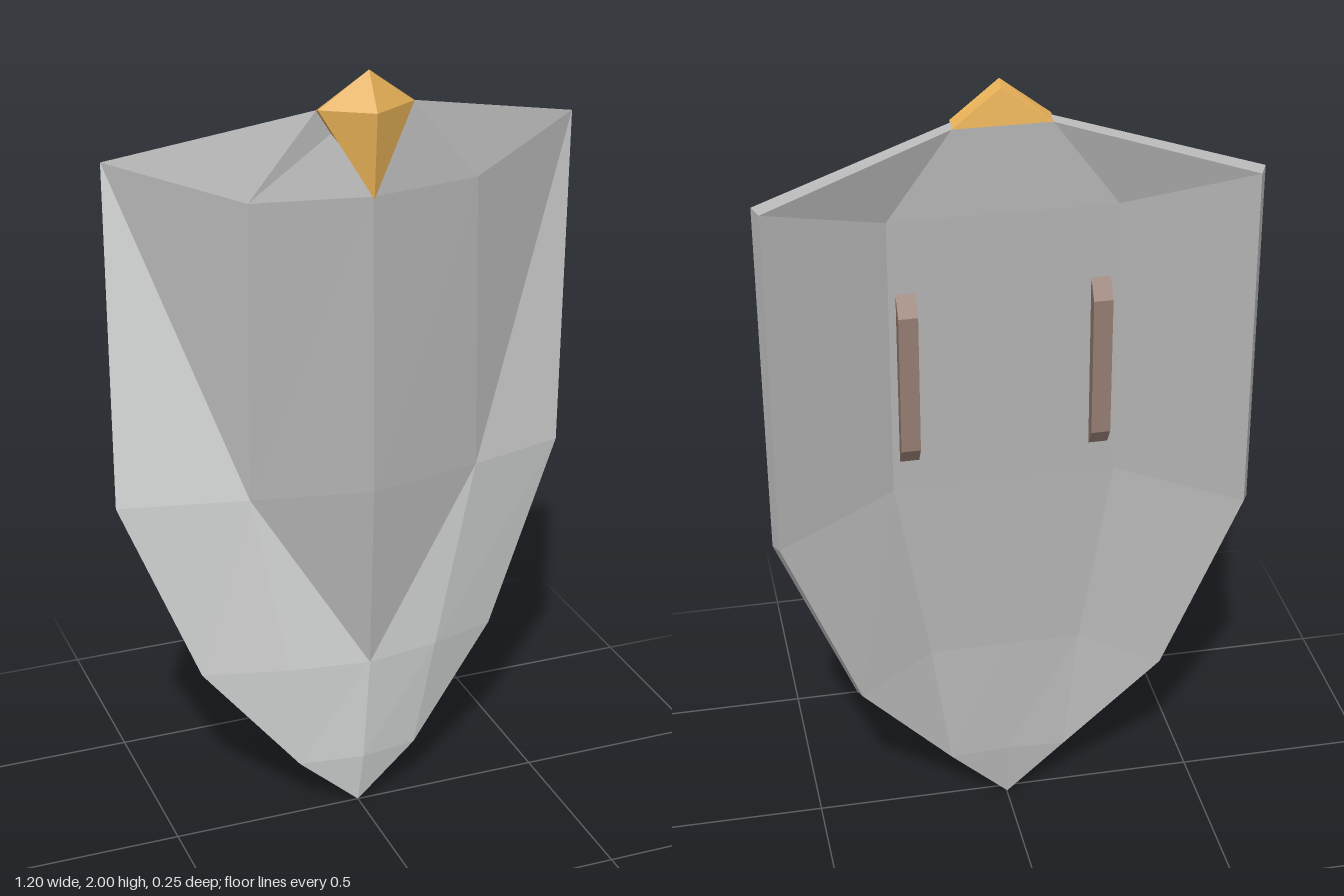
import * as THREE from 'three';

const flat = (name, color) => {
  const m = new THREE.MeshStandardMaterial({ color });
  m.name = name;
  return m;
};

// Flat-shaded mesh from polygons given for the +x half and mirrored to the other.
function mirroredFaces(name, polygons, material) {
  const positions = [];
  const addFan = (p) => {
    for (let i = 1; i < p.length - 1; i++) positions.push(...p[0], ...p[i], ...p[i + 1]);
  };
  for (const p of polygons) {
    addFan(p);
    addFan(p.map(([x, y, z]) => [-x, y, z]).reverse());
  }
  const geometry = new THREE.BufferGeometry();
  geometry.setAttribute('position', new THREE.Float32BufferAttribute(positions, 3));
  geometry.computeVertexNormals();
  const mesh = new THREE.Mesh(geometry, material);
  mesh.name = name;
  return mesh;
}

// Band joining a front outline to a back outline, both running top to bottom.
const band = (front, back) => front.slice(1).map((f, i) => [f, back[i + 1], back[i], front[i]]);

export function createModel() {
  const steel = flat('lightSteel', 0xdadcdb);
  const iron = flat('darkSteel', 0xb2b2b2);
  const gold = flat('gold', 0xe3ad55);
  const leather = flat('leather', 0x957d72);
  const model = new THREE.Group();
  model.name = 'shield';

  // Front points: c = centre line, m = middle column, e = outer edge
  const c = [[0, 1.91, 0.045], [0, 1.705, 0.1], [0, 0.95, 0.11], [0, 0.46, 0.085], [0, 0.155, 0.04]];
  const m = [null, [0.29, 1.705, 0.045], [0.3, 0.95, 0.047], [0.2, 0.45, 0.037]];
  const e = [[0.12, 1.91, 0.045], [0.6, 1.8, -0.09], [0.597, 0.91, -0.105], [0.4, 0.42, -0.07], [0.16, 0.14, -0.005]];
  const tip = [0, 0, 0];

  // Dark field narrowing to a point
  model.add(mirroredFaces('frontField', [
    [c[1], m[1], e[0], c[0]],
    [m[1], e[1], e[0]],
    [c[2], m[2], m[1], c[1]],
    [m[2], e[1], m[1]],
    [c[3], m[2], c[2]],
  ], iron));

  // Light border plates
  model.add(mirroredFaces('frontBorder', [
    [m[2], e[2], e[1]],
    [m[3], e[3], e[2], m[2]],
    [c[3], m[3], m[2]],
    [c[4], e[4], m[3], c[3]],
    [e[4], e[3], m[3]],
    [tip, e[4], c[4]],
  ], steel));

  // Back shell with a flat middle
  const bt = [0, 1.9, 0.026];
  const be = [[0.12, 1.9, 0.026], [0.585, 1.79, -0.115], [0.583, 0.91, -0.13], [0.39, 0.425, -0.1], [0.15, 0.145, -0.035]];
  const bm = [null, [0.28, 1.685, 0.015], [0.28, 0.96, 0.009], [0.195, 0.467, -0.002]];
  const bc = [null, [0, 1.685, 0.015], [0, 0.96, 0.009], [0, 0.467, -0.002], [0, 0.15, -0.03]];
  const backTip = [0, 0.005, -0.03];
  model.add(mirroredFaces('back', [
    [bt, be[0], bm[1], bc[1]],
    [be[0], be[1], bm[1]],
    [bc[1], bm[1], bm[2], bc[2]],
    [bm[1], be[1], be[2], bm[2]],
    [bc[2], bm[2], bm[3], bc[3]],
    [bm[2], be[2], be[3], bm[3]],
    [bc[3], bm[3], be[4], bc[4]],
    [bm[3], be[3], be[4]],
    [bc[4], be[4], backTip],
  ], iron));

  model.add(mirroredFaces('rim', band([c[0], ...e, tip], [bt, ...be, backTip]), iron));

  // Faceted crest ornament
  const peak = [0, 2, 0.07], nose = [0, 1.91, 0.125], side = [0.12, 1.912, 0.055], foot = [0, 1.7, 0.107];
  const backPeak = [0, 1.985, 0.045], backSide = [0.12, 1.9, 0.026], backFoot = [0, 1.72, 0.06];
  model.add(mirroredFaces('crest', [
    [nose, side, peak],
    [foot, side, nose],
    ...band([peak, side, foot], [backPeak, backSide, backFoot]),
    [backPeak, backSide, bt],
  ], gold));

  // Pair of grips with sloped ends
  const profile = new THREE.Shape([[0, 1.035], [0.034, 1.085], [0.034, 1.448], [0, 1.498]].map(([u, y]) => new THREE.Vector2(u, y)));
  const width = 0.048;
  const gripGeometry = new THREE.ExtrudeGeometry(profile, { depth: width, bevelEnabled: false });
  gripGeometry.translate(0, 0, -width / 2).rotateY(Math.PI / 2);
  for (const [name, x] of [['leftGrip', 0.238], ['rightGrip', -0.238]]) {
    const grip = new THREE.Mesh(gripGeometry, leather);
    grip.name = name;
    grip.position.set(x, 0, 0.014);
    model.add(grip);
  }
  return model;
}
